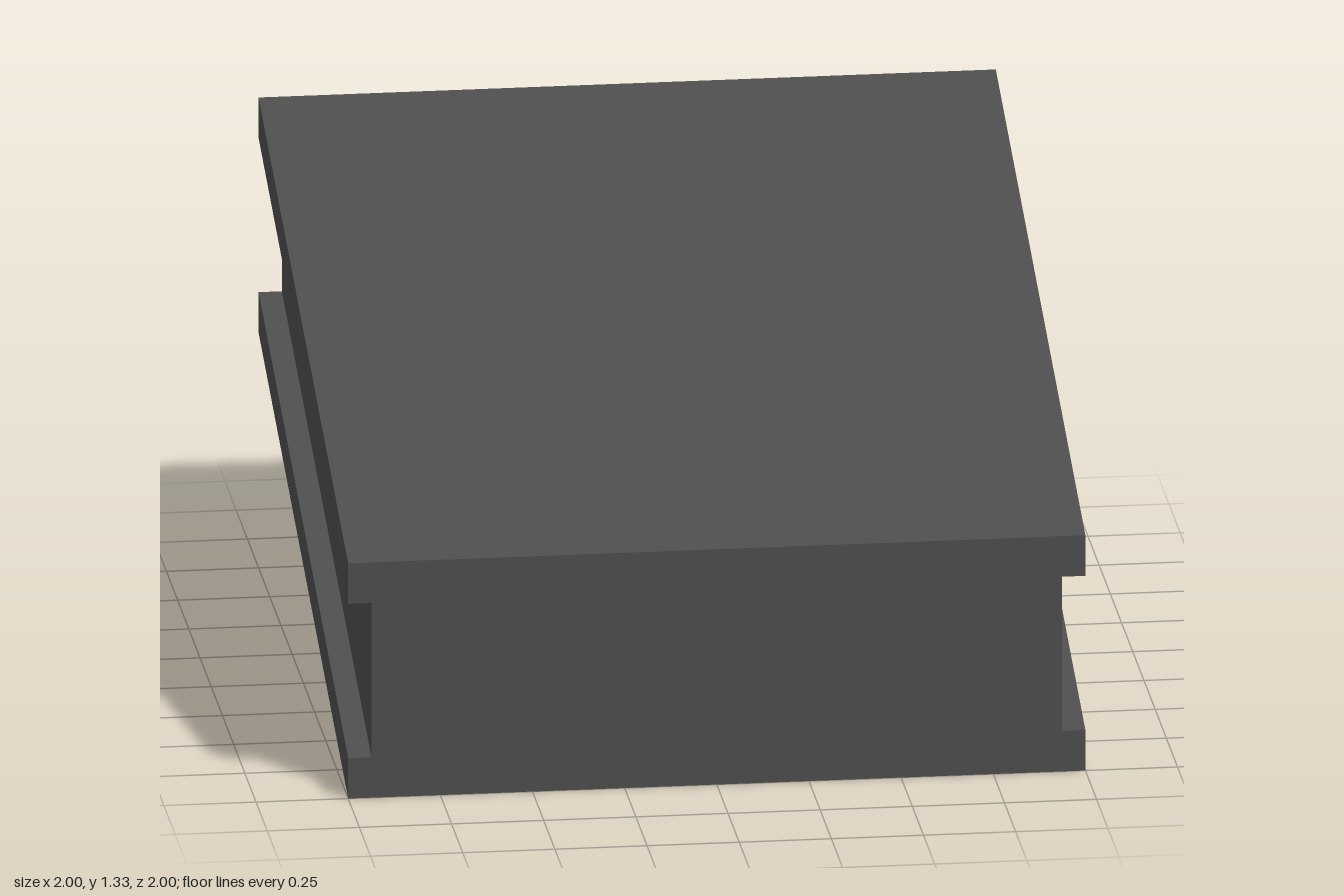
import * as THREE from 'three';

export function createModel() {
  const group = new THREE.Group();
  group.name = 'slopedBeam';
  const darkGrey = new THREE.MeshStandardMaterial({ color: 0x4d4d4d });
  darkGrey.name = 'darkGrey';

  // I-shaped section: wide flanges above and below a slightly narrower web
  const half = 1, web = 0.937, height = 0.667, flange = 0.115;
  const rightSide = [
    [half, 0], [half, flange], [web, flange],
    [web, height - flange], [half, height - flange], [half, height],
  ];
  const leftSide = rightSide.map(([x, y]) => [-x, y]).reverse();
  const section = new THREE.Shape(
    [...rightSide, ...leftSide].map(([x, y]) => new THREE.Vector2(x, y)));

  // Run the section front to back, then shear it so it climbs to the rear
  const geometry = new THREE.ExtrudeGeometry(section, { depth: 2, bevelEnabled: false });
  geometry.translate(0, 0, -1);
  const p = geometry.attributes.position;
  for (let i = 0; i < p.count; i++) p.setY(i, p.getY(i) + (1 - p.getZ(i)) / 3);
  geometry.computeVertexNormals();

  const beam = new THREE.Mesh(geometry, darkGrey);
  beam.name = 'groovedRampBlock';
  group.add(beam);
  return group;
}
